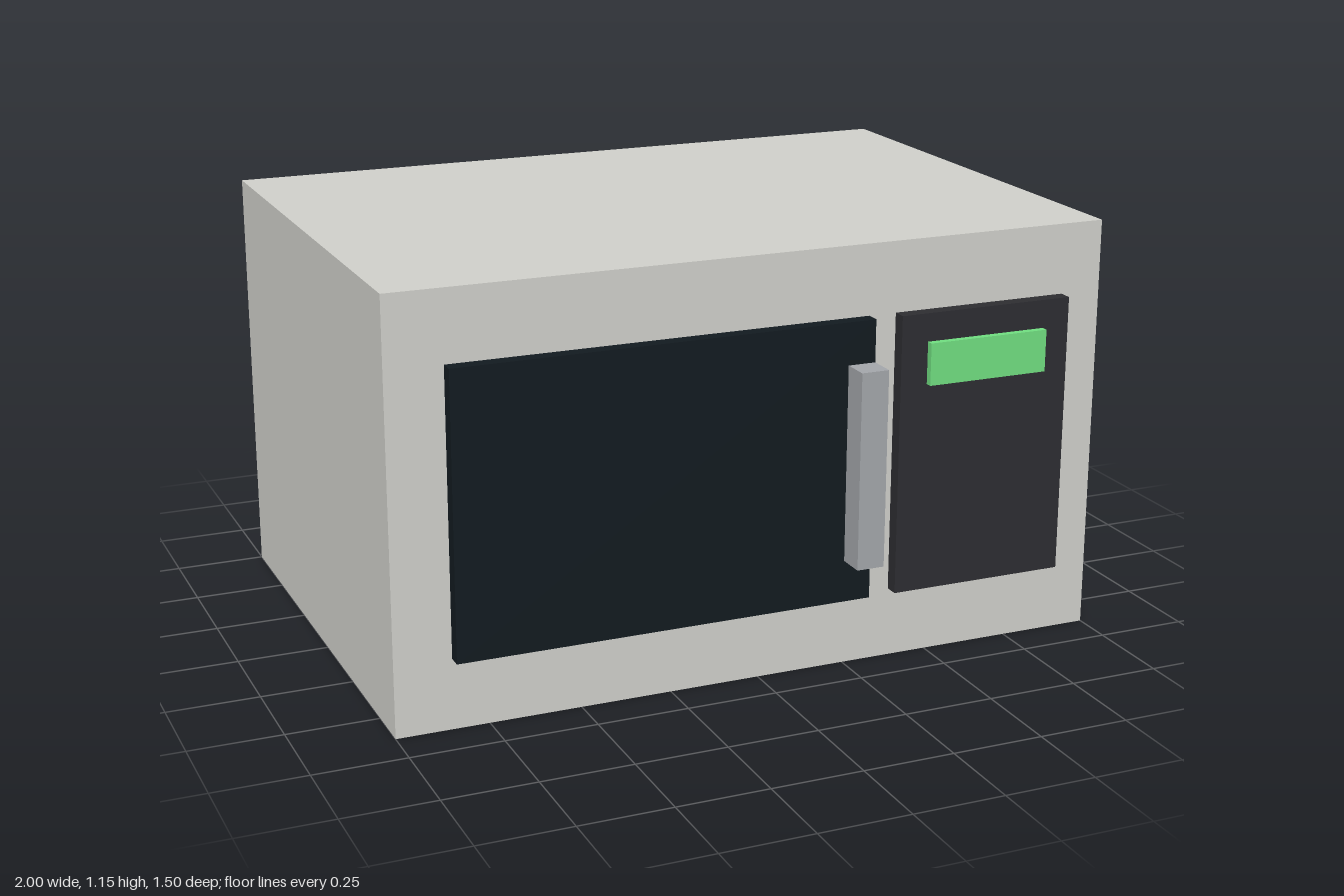
import * as THREE from 'three';

// Grid unit: the cabinet is 52 units wide
const U = 2 / 52;
const FRONT = 16.5; // z of the cabinet's front face, in units

export function createModel() {
  const group = new THREE.Group();
  group.name = 'microwave';

  // Box given by its [min, max] extent on each axis, in units
  function addBox(name, color, [x0, x1], [y0, y1], [z0, z1]) {
    const mesh = new THREE.Mesh(
      new THREE.BoxGeometry((x1 - x0) * U, (y1 - y0) * U, (z1 - z0) * U),
      new THREE.MeshStandardMaterial({ color })
    );
    mesh.position.set((x0 + x1) / 2 * U, (y0 + y1) / 2 * U, (z0 + z1) / 2 * U);
    mesh.name = name;
    group.add(mesh);
  }

  addBox('cabinet', 0xcfcfca, [-26, 26], [0, 30], [-19.5, FRONT]);
  addBox('door', 0x121a20, [-22, 8], [5, 25], [FRONT, FRONT + 1]);
  addBox('doorHandle', 0xa3a6aa, [6, 8], [8, 22], [FRONT + 1, FRONT + 3]);
  addBox('controlPanel', 0x2d2d31, [10, 23], [5, 25], [FRONT, FRONT + 1]);
  addBox('display', 0x70dd80, [12, 21], [20, 23], [FRONT + 1, FRONT + 1.5]);

  return group;
}
